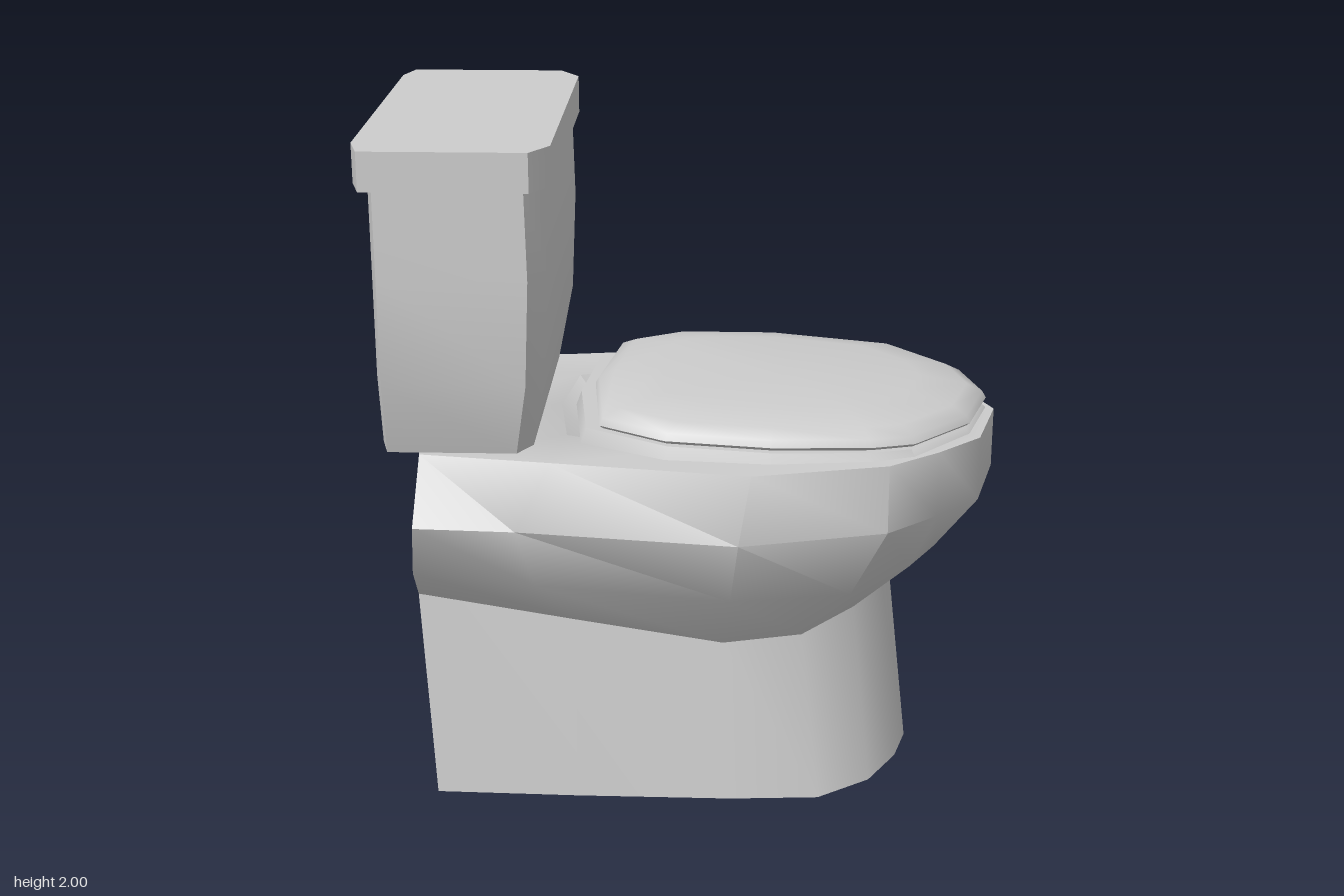
import * as THREE from 'three';
import { toCreasedNormals } from 'three/addons/utils/BufferGeometryUtils.js';

// Skin a stack of rings ([x, y, z] points) with optional flat end caps.
function loft(rings, capBottom, capTop, crease = 0.95) {
  const n = rings[0].length;
  const pos = rings.flat(2);
  const index = [];
  for (let i = 0; i < rings.length - 1; i++) {
    for (let j = 0; j < n; j++) {
      const k = (j + 1) % n;
      const a = i * n + j, b = i * n + k, c = b + n, d = a + n;
      index.push(a, b, d, b, c, d);
    }
  }
  const cap = (ring, start, up) => {
    const mid = [0, 1, 2].map((q) => ring.reduce((s, p) => s + p[q], 0) / n);
    const m = pos.length / 3;
    pos.push(...mid);
    for (let j = 0; j < n; j++) {
      const k = (j + 1) % n;
      if (up) index.push(m, start + j, start + k);
      else index.push(m, start + k, start + j);
    }
  };
  if (capBottom) cap(rings[0], 0, false);
  if (capTop) cap(rings.at(-1), (rings.length - 1) * n, true);
  const g = new THREE.BufferGeometry();
  g.setAttribute('position', new THREE.Float32BufferAttribute(pos, 3));
  g.setIndex(index);
  return toCreasedNormals(g, crease);
}

// Lift a flat [x, z] outline to height y (a number or a function of x).
const at = (outline, y) => outline.map(([x, z]) => [x, typeof y === 'function' ? y(x) : y, z]);
// Scale an outline about a centre.
const scale = (outline, s, cx = 0.3, cz = -0.01) =>
  outline.map(([x, z]) => [cx + (x - cx) * s, cz + (z - cz) * s]);

export function createModel() {
  const group = new THREE.Group();
  const ceramic = new THREE.MeshStandardMaterial({ color: 0xcccccc, side: THREE.DoubleSide });
  ceramic.name = 'ceramic grey';
  const add = (name, geometry) => {
    const mesh = new THREE.Mesh(geometry, ceramic);
    mesh.name = name;
    group.add(mesh);
  };

  // Pedestal: open underneath, meeting the bowl along a slanted seam
  const foot = [[-0.72, 0.44], [-0.3, 0.43], [0.16, 0.41], [0.42, 0.38], [0.57, 0.26], [0.65, 0.1],
    [0.68, -0.04], [0.61, -0.28], [0.45, -0.38], [0.2, -0.4], [-0.25, -0.37], [-0.66, -0.31], [-0.72, 0.06]];
  const seam = [[-0.765, 0.625, 0.38], [-0.3, 0.555, 0.37], [0.13, 0.485, 0.345], [0.36, 0.505, 0.31],
    [0.51, 0.55, 0.2], [0.59, 0.595, 0.06], [0.61, 0.615, -0.04], [0.55, 0.58, -0.22],
    [0.4, 0.515, -0.31], [0.12, 0.49, -0.335], [-0.3, 0.555, -0.32], [-0.72, 0.62, -0.29], [-0.78, 0.625, 0.05]];
  add('pedestal', loft([at(foot, 0), seam], false, false));

  // Bowl: flares up from the seam to the rim, then down into the basin
  const belly = [[-0.755, 0.74, 0.49], [-0.4, 0.72, 0.5], [0.16, 0.69, 0.5], [0.5, 0.69, 0.42],
    [0.67, 0.7, 0.23], [0.745, 0.7, 0.07], [0.76, 0.7, -0.05], [0.7, 0.7, -0.25],
    [0.5, 0.69, -0.44], [0.12, 0.69, -0.5], [-0.4, 0.72, -0.43], [-0.72, 0.74, -0.39], [-0.79, 0.74, 0.05]];
  const widest = [[-0.73, 0.585], [-0.44, 0.585], [0.19, 0.635], [0.6, 0.505], [0.74, 0.365], [0.86, 0.23],
    [0.91, -0.05], [0.825, -0.31], [0.545, -0.56], [0.115, -0.635], [-0.46, -0.53], [-0.72, -0.48], [-0.79, 0.05]];
  const rim = [[-0.725, 0.47], [-0.35, 0.505], [0.22, 0.56], [0.6, 0.45], [0.74, 0.33], [0.86, 0.2],
    [0.91, -0.05], [0.81, -0.25], [0.595, -0.495], [0.16, -0.57], [-0.4, -0.455], [-0.72, -0.4], [-0.79, 0.05]];
  const opening = [[-0.33, 0.28], [-0.03, 0.38], [0.27, 0.4], [0.5, 0.36], [0.6, 0.31], [0.74, 0.15],
    [0.79, -0.04], [0.73, -0.2], [0.56, -0.36], [0.22, -0.41], [-0.07, -0.38], [-0.36, -0.25], [-0.38, 0.02]];
  add('bowl', loft([seam, belly, at(widest, 0.92), at(rim, 1.1), at(opening, 1.1),
    at(scale(opening, 0.5, 0.2), 0.75)], false, true));

  // Seat and domed cover, both sloping slightly down to the front
  const slope = (rise) => (x) => 1.148 - 0.026 * x + rise;
  const seat = [[-0.28, 0.35], [-0.03, 0.465], [0.27, 0.475], [0.55, 0.43], [0.67, 0.38], [0.83, 0.18],
    [0.885, -0.05], [0.82, -0.24], [0.62, -0.43], [0.22, -0.49], [-0.09, -0.45], [-0.315, -0.31], [-0.335, 0.03]];
  add('seat', loft([at(seat, 1.104), at(scale(seat, 0.975), slope(-0.008))], true, true));

  const cover = seat.map(([x, z]) => [Math.max(x, -0.28), z * 0.99]);
  cover[0] = [-0.225, 0.365];
  cover[11] = [-0.245, -0.335];
  cover[12] = [-0.28, 0];
  add('seatCover', loft([at(scale(cover, 0.98), slope(0)), at(cover, slope(0.01)), at(scale(cover, 0.98), slope(0.03)),
    at(scale(cover, 0.9), slope(0.053)), at(scale(cover, 0.66), slope(0.075))], true, true));

  // Tank: tapers in at the bottom, with an overhanging lid
  const lid = [[-0.83, 0.6], [-0.375, 0.577], [-0.328, 0.49], [-0.375, -0.44],
    [-0.44, -0.523], [-0.89, -0.5], [-0.912, -0.41], [-0.865, 0.5]];
  const tankRing = ([y, kx, kz]) =>
    lid.map(([x, z]) => [-0.872 + (x + 0.912) * kx, y, 0.04 + (z - 0.04) * kz]);
  add('tank', loft([[1.12, 0.8, 0.84], [1.34, 0.875, 0.955], [1.64, 0.9, 0.96], [1.9, 0.89, 0.955]].map(tankRing), true, true));
  add('tankLid', loft([at(lid, 1.89), at(lid, 2)], true, true));

  return group;
}
